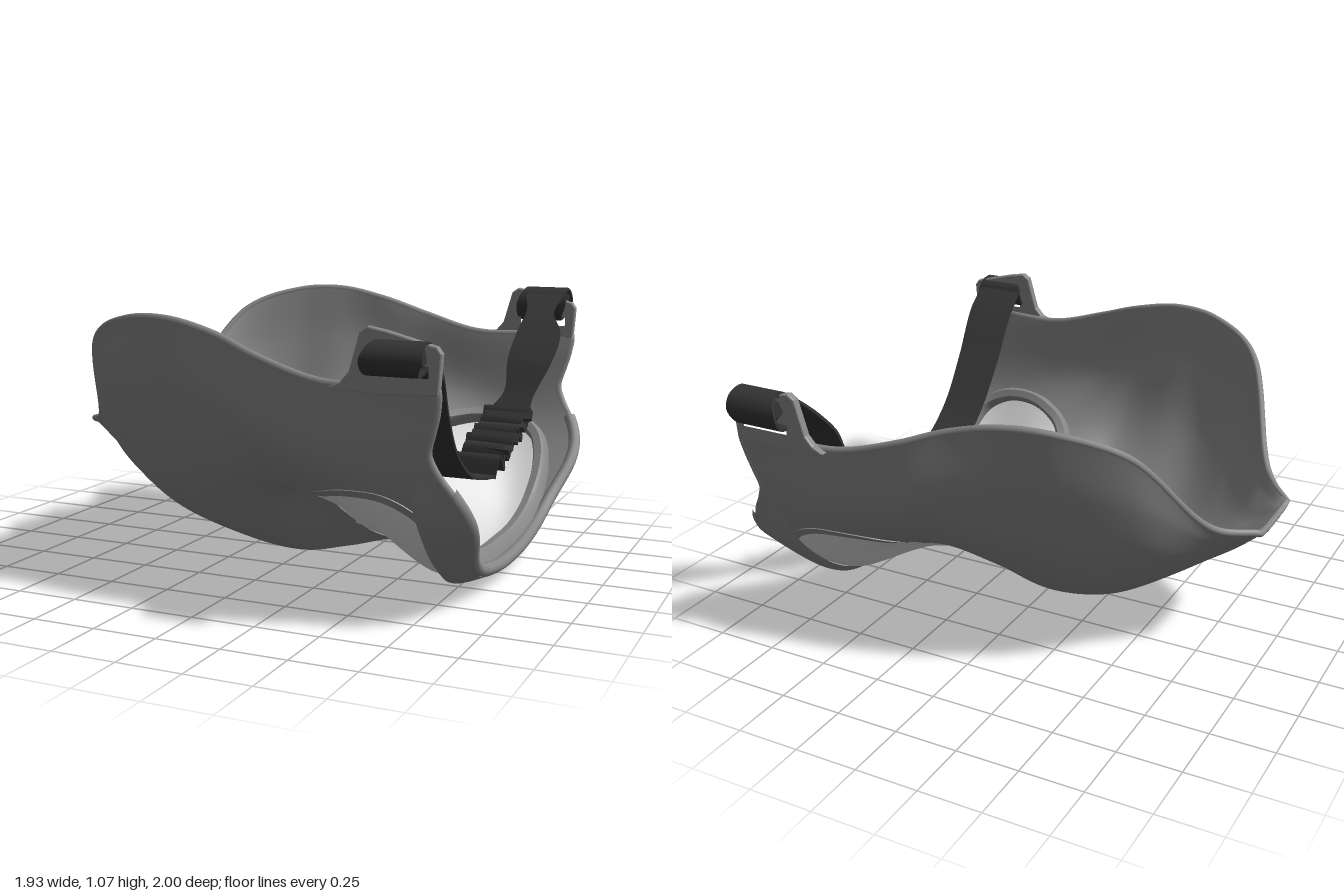
import * as THREE from 'three';
import { toCreasedNormals } from 'three/addons/utils/BufferGeometryUtils.js';

const NU = 130, NV = 150, THICK = 0.025;
const V = (x, y, z) => new THREE.Vector3(x, y, z);

// Cross-sections from chin to brow: x, then (z, y) pairs from the middle to the rim
const SECTIONS = [
  [-0.95, 0, .49, .035, .49, .07, .49, .10, .495, .135, .5, .165, .51],
  [-0.82, 0, .39, .06, .39, .13, .40, .2, .44, .27, .5, .32, .57],
  [-0.62, 0, .25, .16, .27, .33, .35, .48, .5, .59, .72, .64, .94],
  [-0.40, 0, .12, .2, .15, .44, .28, .62, .5, .72, .78, .765, 1.03],
  [-0.20, 0, .03, .2, .09, .46, .27, .67, .53, .77, .8, .815, 1.04],
  [0.00, 0, 0, .14, .055, .42, .26, .69, .48, .82, .75, .84, 1.0],
  [0.20, 0, .04, .13, .13, .36, .345, .66, .44, .84, .63, .88, .93],
  [0.45, 0, .10, .2, .16, .44, .28, .68, .385, .845, .56, .89, .86],
  [0.72, 0, .05, .2, .055, .45, .11, .68, .28, .835, .5, .905, .86],
  [0.875, 0, .06, .2, .07, .45, .13, .68, .3, .835, .5, .915, .86],
];

// Lens outline seen from above, one half: x, z
const LENS = [[.48, 0], [.45, .08], [.36, .17], [.27, .26], [.22, .36], [.21, .45], [.26, .57],
  [.36, .70], [.5, .785], [.65, .81], [.76, .78], [.81, .69], [.83, .5], [.83, .25], [.82, 0]];

function gridIndex(nu, nv, keep = () => true, flip = false) {
  const index = [];
  for (let i = 0; i < nu; i++) for (let j = 0; j < nv; j++) {
    if (!keep(i, j)) continue;
    const a = i * (nv + 1) + j, b = a + nv + 1, c = a + 1, d = b + 1;
    index.push(...(flip ? [a, c, b, b, c, d] : [a, b, c, b, d, c]));
  }
  return index;
}

// Surface through rows of points
function loft(rows) {
  const g = new THREE.BufferGeometry().setFromPoints(rows.flat());
  g.setIndex(gridIndex(rows.length - 1, rows[0].length - 1));
  g.computeVertexNormals();
  return g;
}

// The brow edge swells beside the eyes and nips in at the temples
const browBend = (y) => 0.07 * Math.exp(-(((y - .36) / .16) ** 2)) - 0.045 * Math.exp(-(((y - .63) / .1) ** 2));

function shellPoints() {
  const across = SECTIONS.map((s) => {
    const half = [];
    for (let k = 1; k < s.length; k += 2) half.push(V(s[0], s[k + 1], s[k]));
    const mirrored = half.slice(1).reverse().map((p) => V(p.x, p.y, -p.z));
    return new THREE.CatmullRomCurve3([...mirrored, ...half]);
  });
  const rows = Array.from({ length: NU + 1 }, () => []);
  for (let j = 0; j <= NV; j++) {
    const points = across.map((c) => c.getPoint(j / NV));
    const last = points[points.length - 1];
    last.x += browBend(last.y);
    const along = new THREE.CatmullRomCurve3(points);
    for (let i = 0; i <= NU; i++) rows[i].push(along.getPoint(i / NU));
  }
  return rows;
}

// Thick band along a path of [x, y, z, width], with its width along x
function ribbon(path, closed = false, steps = 60) {
  const mid = new THREE.CatmullRomCurve3(path.map((p) => V(p[0], p[1], p[2])), closed);
  const wide = new THREE.CatmullRomCurve3(path.map((p) => V(p[3], 0, 0)), closed, 'catmullrom');
  const rows = [];
  for (let i = 0; i <= steps; i++) {
    const p = mid.getPoint(i / steps), w = wide.getPoint(i / steps).x / 2;
    const n = mid.getTangent(i / steps).cross(V(1, 0, 0)).normalize();
    rows.push([[-1, -1], [1, -1], [1, 1], [-1, 1], [-1, -1]].map(([a, b]) =>
      V(p.x + a * w, p.y, p.z).addScaledVector(n, b * 0.006)));
  }
  return toCreasedNormals(loft(rows), 0.8);
}

export function createModel() {
  const model = new THREE.Group();
  const mat = (name, color, side = THREE.FrontSide) => {
    const m = new THREE.MeshStandardMaterial({ color, side });
    m.name = name;
    return m;
  };
  const rubber = mat('grey rubber', 0x878787);
  const lens = mat('pale lens', 0xdcdcdc);
  const webbing = mat('dark webbing', 0x343434, THREE.DoubleSide);
  const add = (name, geometry, material) => {
    const mesh = new THREE.Mesh(geometry, material);
    mesh.name = name;
    model.add(mesh);
    return mesh;
  };

  // Face shell, outer and inner skins
  const rows = shellPoints();
  const outer = loft(rows);
  const normals = outer.attributes.normal;
  const normalAt = (i, j) => new THREE.Vector3().fromBufferAttribute(normals, i * (NV + 1) + j);
  const inset = (depth) => rows.map((r, i) => r.map((p, j) => p.clone().addScaledVector(normalAt(i, j), -depth)));

  // Lens outline laid on the shell, with the inward normal at each point
  const surfaceAt = (x, z) => {
    let best = Infinity, bi = 0, bj = 0;
    rows.forEach((r, i) => r.forEach((p, j) => {
      const d = (p.x - x) ** 2 + (p.z - z) ** 2;
      if (d < best) { best = d; bi = i; bj = j; }
    }));
    const p = rows[bi][bj], n = normalAt(bi, bj);
    return { point: V(x, p.y - ((x - p.x) * n.x + (z - p.z) * n.z) / n.y, z), normal: n.negate() };
  };
  const fullOutline = [...LENS, ...LENS.slice(1, -1).reverse().map(([x, z]) => [x, -z])];
  const outlineData = fullOutline.map(([x, z]) => surfaceAt(x, z));
  const outline = new THREE.CatmullRomCurve3(outlineData.map((o) => o.point), true);
  const outlineNormals = new THREE.CatmullRomCurve3(outlineData.map((o) => o.normal), true, 'catmullrom');
  const polygon = outline.getPoints(140);
  const inLens = (i, j) => {
    const c = rows[i][j].clone().add(rows[i + 1][j + 1]).multiplyScalar(0.5);
    let inside = false;
    for (let a = 0, b = polygon.length - 1; a < polygon.length; b = a++) {
      const p = polygon[a], q = polygon[b];
      if ((p.z > c.z) !== (q.z > c.z) && c.x < (q.x - p.x) * (c.z - p.z) / (q.z - p.z) + p.x) inside = !inside;
    }
    return inside;
  };

  const inner = loft(inset(THICK));
  const innerNormals = inner.attributes.normal;
  for (let k = 0; k < innerNormals.array.length; k++) innerNormals.array[k] = -normals.array[k];
  const cut = (geometry, keep, flip) => {
    const g = geometry.clone();
    g.setIndex(gridIndex(NU, NV, keep, flip));
    return g;
  };
  const notLens = (i, j) => !inLens(i, j);
  add('faceShellOuter', cut(outer, notLens, false), rubber);
  add('faceShellInner', cut(inner, notLens, true), rubber);
  add('lensOuter', cut(outer, inLens, false), lens);
  add('lensInner', cut(inner, inLens, true), lens);

  // Rounded rim around the whole shell
  const mid = inset(THICK / 2), edge = [];
  for (let j = 0; j < NV; j += 3) edge.push(mid[0][j]);
  for (let i = 0; i < NU; i += 3) edge.push(mid[i][NV]);
  for (let j = NV; j > 0; j -= 3) edge.push(mid[NU][j]);
  for (let i = NU; i > 0; i -= 3) edge.push(mid[i][0]);
  add('rim', new THREE.TubeGeometry(new THREE.CatmullRomCurve3(edge, true), 300, 0.0145, 8, true), rubber);

  // Padded brow band outside the lens, fading out at the temples
  const bandStart = Math.round(NU * 0.907), bandRows = [];
  for (let i = bandStart; i <= NU; i++) {
    const t = (i - bandStart) / (NU - bandStart);
    const swell = 0.032 * THREE.MathUtils.smoothstep(t, -0.05, 0.22) - 0.018 * t * t;
    const row = [];
    rows[i].forEach((p, j) => {
      const side = Math.abs(2 * j / NV - 1);
      if (side > 0.86) return;
      const fade = 1 - THREE.MathUtils.smoothstep(side, 0.7, 0.85);
      row.push(p.clone().addScaledVector(normalAt(i, j), swell * fade - 0.003 * (1 - fade)));
    });
    bandRows.push(row);
  }
  add('browBand', loft(bandRows), rubber);
  const brow = mid[NU].filter((p, j) => j % 3 === 0 && p.y < 0.52);
  add('browRim', new THREE.TubeGeometry(new THREE.CatmullRomCurve3(brow), 120, 0.026, 10), rubber);

  // Raised lens frame: [sideways, inward] section swept along the outline
  const section = [[-.016, -.004], [-.016, .07], [-.008, .088], [.024, .09], [.038, .07], [.046, .015], [.016, .01], [.016, -.004], [-.016, -.004]];
  const M = 140;
  const frameRows = section.map(([side, lift]) => Array.from({ length: M + 1 }, (_, k) => {
    const t = (k % M) / M;
    const n = outlineNormals.getPoint(t).normalize();
    const d = outline.getTangent(t).cross(n).normalize();
    return outline.getPoint(t).addScaledVector(d, side).addScaledVector(n, lift);
  }));
  add('lensFrame', toCreasedNormals(loft(frameRows), 0.7), rubber);

  // Temple tabs with strap slots, and the webbing looped through them
  const tab = new THREE.Shape([[.5, .852], [.54, .868], [.572, .905], [.61, 1.04], [.635, 1.057], [.7, 1.045], [.875, 1.0],
    [.889, .98], [.88, .85], [.7, .84]].map(([x, y]) => new THREE.Vector2(x, y)));
  tab.holes.push(new THREE.Path([[.65, .9], [.65, .94], [.85, .94], [.85, .9]].map(([x, y]) => new THREE.Vector2(x, y))));
  const tabGeometry = new THREE.ExtrudeGeometry(tab, {
    depth: 0.018, bevelEnabled: true, bevelThickness: 0.007, bevelSize: 0.006, bevelSegments: 2,
  });
  for (const [label, s, cy, ry] of [['left', 1, .962, .055], ['right', -1, .995, .068]]) {
    add(label + 'TempleTab', tabGeometry, rubber).position.z = s * 0.902 - 0.009;
    const loop = [];
    for (let k = 0; k < 8; k++) {
      const a = k * Math.PI / 4;
      loop.push([.745 + 0.012 * Math.sin(a), cy + ry * Math.sin(a), s * (0.927 + 0.066 * Math.cos(a)), .2 + 0.02 * Math.cos(2 * a)]);
    }
    add(label + 'StrapLoop', ribbon(loop, true, 32), webbing);
    const fold = add(label + 'StrapFold', new THREE.BoxGeometry(0.19, 0.06, 0.04), webbing);
    fold.position.set(.75, cy + 0.012, s * 0.95);
    fold.rotation.x = s * 0.4;
  }

  // Head strap: long sagging side, and short twisted side
  add('longStrap', ribbon([[.745, .99, .88, .2], [.74, .9, .76, .21], [.71, .72, .58, .2], [.69, .55, .4, .19],
    [.68, .43, .2, .19], [.68, .38, .02, .18], [.69, .36, -.12, .17]]), webbing);
  add('shortStrap', ribbon([[.73, .57, -.43, .18], [.76, .65, -.49, .13], [.78, .78, -.57, .19], [.79, .89, -.67, .19],
    [.77, .97, -.76, .12], [.76, 1.03, -.86, .16], [.755, 1.06, -.95, .18]]), webbing);

  // Gathered webbing and slides between the two
  const folds = [];
  for (let k = 0; k <= 12; k++) {
    const t = k / 12;
    folds.push([.69 + .05 * t, .38 + .19 * t + (k % 2 ? .045 : -.03), -.12 - .31 * t, .17 + .03 * (k % 3) / 2]);
  }
  add('gatheredStrap', ribbon(folds, false, 72), webbing);
  for (let k = 0; k < 4; k++) {
    const slide = add('strapSlide' + (k + 1), new THREE.BoxGeometry(0.2, 0.022, 0.045), webbing);
    slide.position.set(.715 + .01 * k, .46 + .035 * k, -.21 - .06 * k);
    slide.rotation.set(k % 2 ? 0.9 : 0.3, 0.06 * (k - 1.5), 0);
  }
  return model;
}
